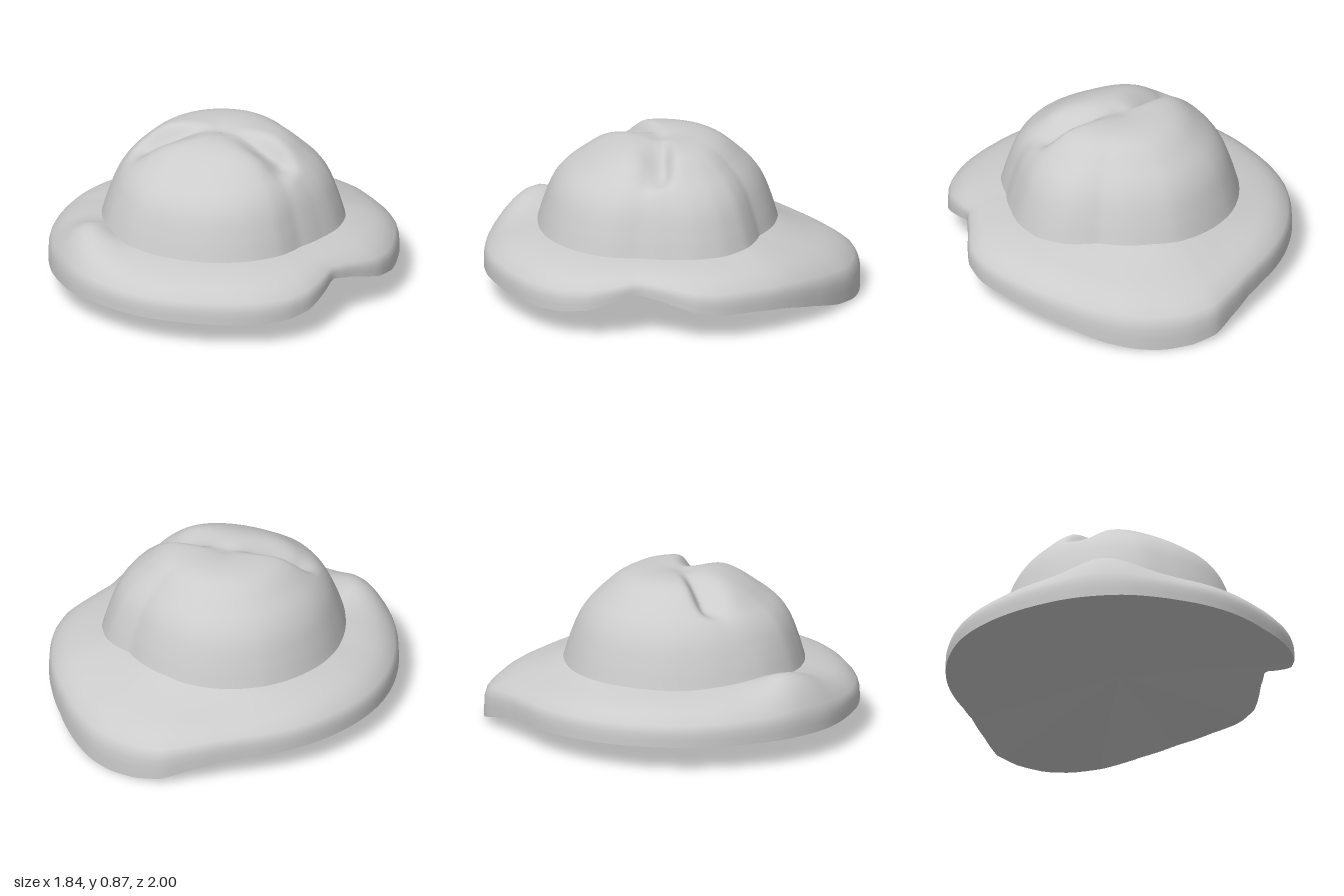
import * as THREE from 'three';

const CZ = 0.06; // z of the axis the hat is lofted around
const SEG = 144;
const material = new THREE.MeshStandardMaterial({ color: 0xcccccc, side: THREE.DoubleSide });

// Rim outline: [x, z, height of the lower edge], from the front round by the left
const RIM = [
  [0, 0.995, 0.14], [0.14, 0.98, 0.14], [0.3, 0.94, 0.135], [0.42, 0.9, 0.135], [0.55, 0.83, 0.135],
  [0.66, 0.73, 0.14], [0.73, 0.61, 0.16], [0.755, 0.35, 0.24], [0.82, 0.23, 0.215], [0.91, 0.06, 0.165],
  [0.92, -0.08, 0.145], [0.88, -0.26, 0.14], [0.8, -0.46, 0.12], [0.69, -0.63, 0.08], [0.55, -0.79, 0.03],
  [0.42, -0.9, 0.01], [0.29, -0.96, 0], [0.14, -1, 0.01], [0, -1, 0.03], [-0.14, -0.93, 0.07],
  [-0.28, -0.85, 0.105], [-0.4, -0.78, 0.115], [-0.54, -0.69, 0.12], [-0.7, -0.54, 0.13], [-0.82, -0.36, 0.135],
  [-0.9, -0.15, 0.14], [-0.92, 0.07, 0.14], [-0.9, 0.24, 0.14], [-0.84, 0.44, 0.14], [-0.75, 0.62, 0.14],
  [-0.55, 0.83, 0.14], [-0.42, 0.9, 0.14], [-0.28, 0.95, 0.14], [-0.14, 0.985, 0.14],
];

// Line where the crown meets the brim: [x, z, height]
const SEAM = [
  [0, 0.705, 0.37], [0.2, 0.675, 0.37], [0.38, 0.58, 0.37], [0.5, 0.45, 0.37], [0.55, 0.3, 0.37],
  [0.61, 0.14, 0.37], [0.64, 0, 0.37], [0.62, -0.16, 0.37], [0.54, -0.3, 0.38], [0.38, -0.4, 0.39],
  [0.25, -0.5, 0.39], [0.13, -0.55, 0.39], [0, -0.58, 0.38], [-0.2, -0.55, 0.37], [-0.4, -0.45, 0.37],
  [-0.55, -0.27, 0.37], [-0.63, -0.05, 0.37], [-0.635, 0.1, 0.37], [-0.58, 0.33, 0.39],
  [-0.48, 0.5, 0.41], [-0.3, 0.65, 0.38], [-0.15, 0.69, 0.37],
];

// Cross-sections: brim [inward fraction, height fraction], crown [radius fraction, height]
const BRIM = [[0, 0], [0, 0.16], [0.005, 0.3], [0.03, 0.41], [0.07, 0.49], [0.17, 0.62], [0.28, 0.72],
  [0.4, 0.8], [0.55, 0.87], [0.7, 0.92], [0.85, 0.965], [1, 1]];
const CROWN = [[1, 0.37], [0.95, 0.48], [0.88, 0.6], [0.8, 0.68], [0.68, 0.757], [0.56, 0.82],
  [0.46, 0.85], [0.3, 0.866], [0, 0.858]];

const gauss = (d, w) => Math.exp(-((d / w) ** 2));
const { lerp, smoothstep } = THREE.MathUtils;

// Samples a closed outline at SEG even angles around the axis
function sampleOutline(points) {
  const polar = points.map(([x, z, y]) => {
    const a = Math.atan2(x, z - CZ);
    return { a: a < -1e-6 ? a + Math.PI * 2 : a, r: Math.hypot(x, z - CZ), y };
  });
  polar.push({ ...polar[0], a: Math.PI * 2 });
  return Array.from({ length: SEG }, (_, i) => {
    const a = (i / SEG) * Math.PI * 2;
    let k = 0;
    while (k < polar.length - 2 && polar[k + 1].a < a) k++;
    const p = polar[k], q = polar[k + 1], f = (a - p.a) / (q.a - p.a);
    return { a, r: lerp(p.r, q.r, f), y: lerp(p.y, q.y, f) };
  });
}

// Joins closed rings of points; at(row, column) returns [x, y, z]
function loft(name, rows, at) {
  const pos = [], index = [];
  for (let j = 0; j < rows; j++) {
    for (let i = 0; i < SEG; i++) {
      pos.push(...at(j, i));
      if (j === rows - 1) continue;
      const n = (i + 1) % SEG, a = j * SEG + i, b = j * SEG + n;
      index.push(a, b, a + SEG, b, b + SEG, a + SEG);
    }
  }
  const g = new THREE.BufferGeometry();
  g.setAttribute('position', new THREE.Float32BufferAttribute(pos, 3));
  g.setIndex(index);
  g.computeVertexNormals();
  const mesh = new THREE.Mesh(g, material);
  mesh.name = name;
  return mesh;
}

const place = (a, r, y) => [Math.sin(a) * r, y, CZ + Math.cos(a) * r];

export function createModel() {
  const hat = new THREE.Group();
  hat.name = 'hat';
  const rim = sampleOutline(RIM), seam = sampleOutline(SEAM);

  // Brim: rolled edge sweeping up to the crown, folded at the front right, drooping at the back
  hat.add(loft('brim', BRIM.length, (j, i) => {
    const [t, h] = BRIM[j], o = rim[i], s = seam[i];
    const swell = Math.sin(Math.PI * t);
    const bend = (0.065 * gauss(o.a - 5.55, 0.24) - 0.035 * gauss(o.a - Math.PI, 0.8)) * swell;
    return place(o.a, lerp(o.r, s.r, t), lerp(o.y, s.y, h) + bend);
  }));

  // Underside: closed sheet across the rim
  const UNDER = 8;
  hat.add(loft('underside', UNDER, (j, i) => {
    const f = j / (UNDER - 1), o = rim[i];
    return place(o.a, o.r * f, lerp(0.102, o.y, f));
  }));

  // Crown: dome, lower at the front, with two creases pinched outward from the top
  const profile = new THREE.CatmullRomCurve3(CROWN.map(([s, y]) => new THREE.Vector3(s, y, 0)));
  const rings = profile.getSpacedPoints(52);
  hat.add(loft('crown', rings.length, (j, i) => {
    const o = seam[i], s = Math.max(0, rings[j].x);
    const front = Math.max(0, Math.cos(o.a)) ** 2;
    const drop = 0.04 * front * gauss(s - 0.55, 0.24);
    const radius = s * lerp(0.635, o.r, smoothstep(s, 0, 0.95));
    const p = place(o.a, radius, rings[j].y - drop + (o.y - 0.37) * Math.max(0, (s - 0.9) * 10));
    const [x, , z] = p, ax = Math.abs(x);
    const d = z - CZ - ax * (x < 0 ? 0.3 : 0.16);
    const reach = smoothstep(ax, 0, 0.3) * (1 - smoothstep(ax, 0.34, 0.48));
    p[1] -= 0.085 * reach * gauss(d, d < 0 ? 0.045 : 0.11) + 0.012 * gauss(Math.hypot(x, z - CZ), 0.06);
    return p;
  }));

  return hat;
}
